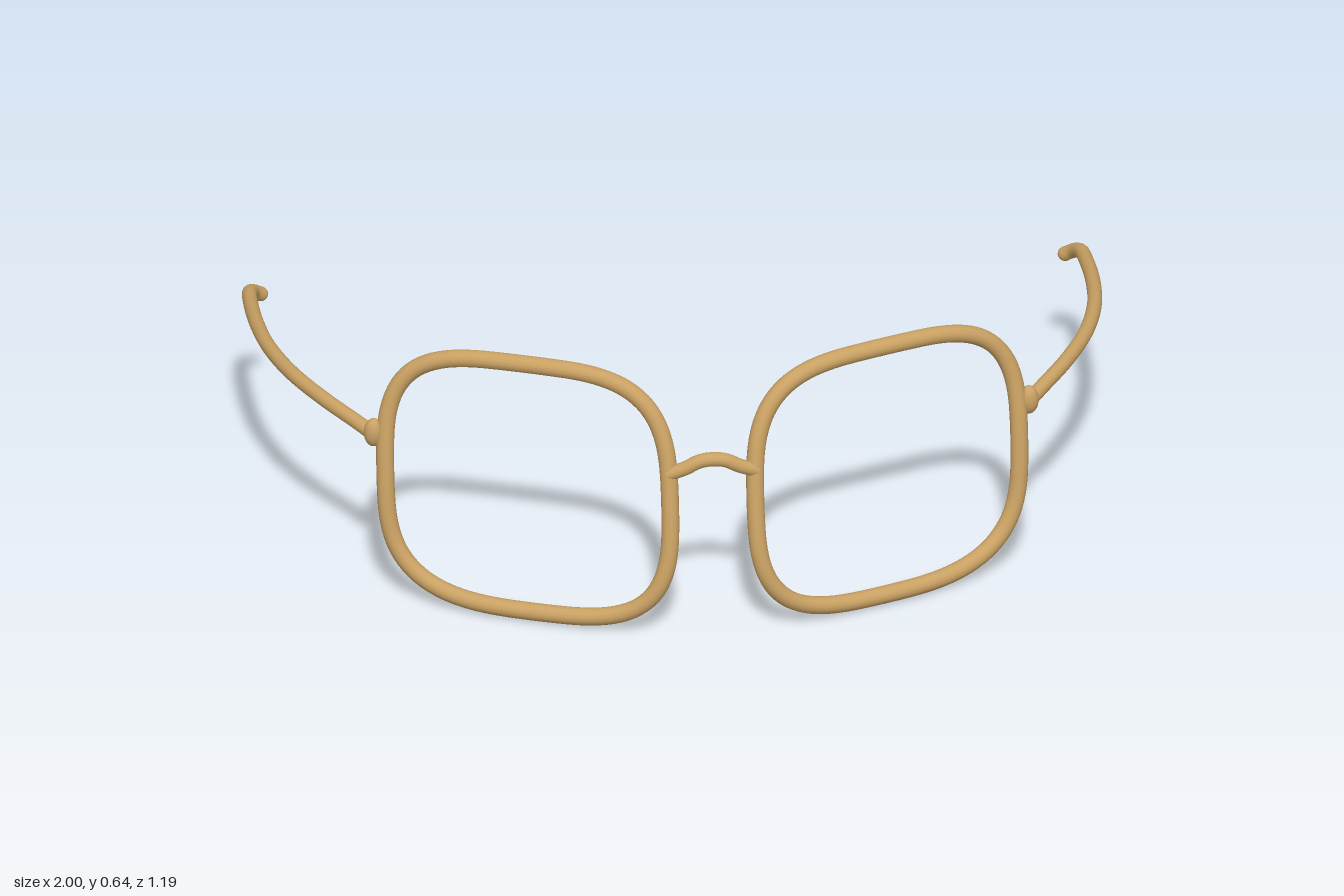
import * as THREE from 'three';

export function createModel() {
  const group = new THREE.Group();
  const metal = new THREE.MeshStandardMaterial({ color: 0xc9a163 });
  metal.name = 'brushed gold';
  const v = (x, y, z) => new THREE.Vector3(x, y, z);

  const add = (name, geometry, parent = group) => {
    const mesh = new THREE.Mesh(geometry, metal);
    mesh.name = name;
    parent.add(mesh);
    return mesh;
  };
  const wire = (points, radius, segments, closed = false) =>
    new THREE.TubeGeometry(new THREE.CatmullRomCurve3(points, closed), segments, radius, 14, closed);

  // Rim outline: a squarish oval, swept back and tilted, with a slight hand-bent twist
  const rimPoints = (side) => {
    const points = [];
    const n = 3.2;
    const power = (t) => Math.sign(t) * Math.pow(Math.abs(t), 2 / n);
    for (let i = 0; i < 48; i++) {
      const a = ((i + 0.5) / 48) * Math.PI * 2;
      const u = power(Math.cos(a));
      const w = power(Math.sin(a));
      const bend = u < 0 ? u * u * (0.006 + 0.022 * w) : 0.03 * u * u * w * w;
      const z = 0.396 - 0.12 * u - 0.054 * w + 0.0285 - bend;
      points.push(v(side * (0.4225 + 0.322 * u), 0.32 + 0.299 * w, z));
    }
    return points;
  };

  // Temple arm, bowed outwards with a hooked tip
  const templePath = [
    [0.77, 0.405, 0.28], [0.805, 0.413, 0.23], [0.87, 0.422, 0.13], [0.93, 0.422, 0],
    [0.968, 0.411, -0.15], [0.982, 0.393, -0.3], [0.982, 0.37, -0.45],
    [0.976, 0.355, -0.53], [0.962, 0.336, -0.567], [0.945, 0.322, -0.58],
  ];

  for (const side of [1, -1]) {
    const half = new THREE.Group();
    half.name = side > 0 ? 'leftSide' : 'rightSide';
    group.add(half);

    add('rim', wire(rimPoints(side), 0.021, 140, true), half);

    const path = templePath.map(([x, y, z]) => v(side * x, y, z));
    add('temple', wire(path, 0.0175, 80), half);
    add('templeTip', new THREE.SphereGeometry(0.0175, 14, 10), half).position.copy(path[path.length - 1]);

    // Hinge knob between rim and temple
    const hinge = add('hinge', new THREE.SphereGeometry(1, 20, 14), half);
    hinge.scale.set(0.023, 0.036, 0.021);
    hinge.position.set(side * 0.77, 0.41, 0.281);
  }

  // Arched nose bridge
  add('bridge', wire([
    v(-0.105, 0.392, 0.525), v(-0.065, 0.408, 0.53), v(-0.03, 0.426, 0.532), v(0, 0.43, 0.532),
    v(0.03, 0.426, 0.532), v(0.065, 0.408, 0.53), v(0.105, 0.392, 0.525),
  ], 0.017, 40));

  return group;
}
